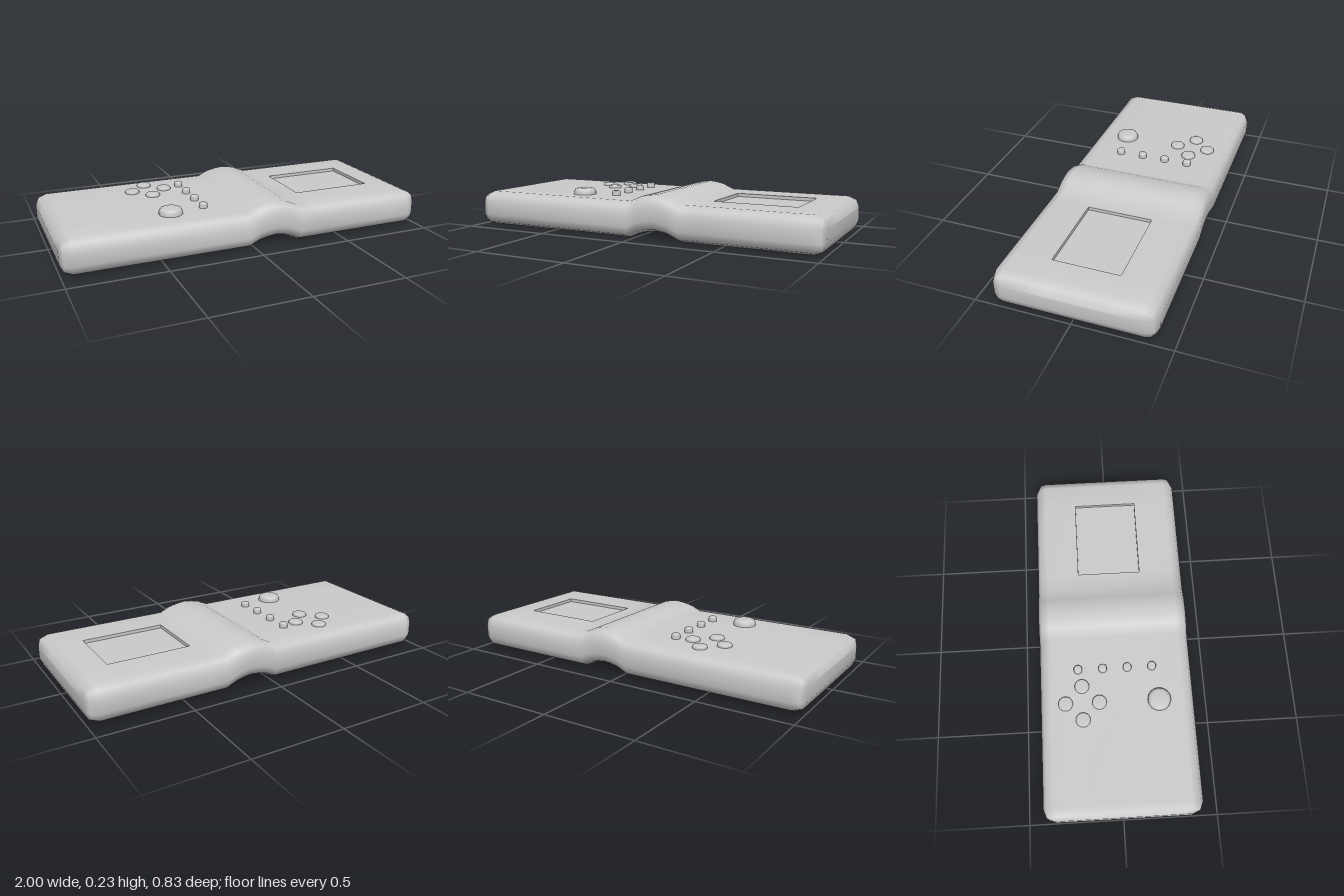
import * as THREE from 'three';
import { mergeVertices } from 'three/addons/utils/BufferGeometryUtils.js';

const material = new THREE.MeshStandardMaterial({ color: 0xcccccc });
const TOP = 0.19, R = 0.06, HALF_Z = 0.355;
const SCREEN = { x0: 0.36, x1: 0.81, z0: -0.18, z1: 0.17, floor: 0.172 };

function addMesh(parent, name, geometry) {
  const mesh = new THREE.Mesh(geometry, material);
  mesh.name = name;
  parent.add(mesh);
  return mesh;
}

// Rounded cross-section in the z-y plane; the top edge is split at the screen borders
function section(x, radius, lift) {
  const ring = [];
  const corners = [[1, TOP - R], [-1, TOP - R], [-1, R], [1, R]];
  corners.forEach(([side, y], c) => {
    for (let s = 0; s <= 2; s++) {
      const a = (c + s / 2) * Math.PI / 2;
      ring.push([x, y + lift + radius * Math.sin(a), side * HALF_Z + radius * Math.cos(a)]);
    }
    if (c === 0) {
      for (const z of [SCREEN.z1, SCREEN.z0]) ring.push([x, y + lift + radius, z]);
    }
  });
  return ring;
}

// Case lofted along x, with a raised grip wave and an opening for the screen
function bodyGeometry() {
  const d = R * Math.SQRT1_2;
  const stations = [
    [-1, 0, 0], [-1 + R - d, d, 0], [-1 + R, R, 0],
    [-0.03, R, 0], [0.03, R, 0.028], [0.075, R, 0.037], [0.12, R, 0.042],
    [0.16, R, 0.037], [0.2, R, 0.028], [0.265, R, 0],
    [SCREEN.x0, R, 0], [SCREEN.x1, R, 0],
    [1 - R, R, 0], [1 - R + d, d, 0], [1, 0, 0],
  ];
  const rings = stations.map((s) => section(...s));
  const n = rings[0].length, last = rings.length - 1, index = [];
  for (let i = 0; i < last; i++) {
    for (let j = 0; j < n; j++) {
      if (stations[i][0] === SCREEN.x0 && j === 3) continue; // screen opening
      const k = (j + 1) % n;
      const a = i * n + j, b = i * n + k, c = a + n, e = b + n;
      index.push(a, c, b, c, e, b);
    }
  }
  for (let j = 1; j < n - 1; j++) {
    index.push(0, j, j + 1, last * n, last * n + j + 1, last * n + j);
  }
  let geometry = new THREE.BufferGeometry();
  geometry.setAttribute('position', new THREE.Float32BufferAttribute(rings.flat(2), 3));
  geometry.setIndex(index);
  geometry = mergeVertices(geometry, 1e-4);
  geometry.computeVertexNormals();
  return geometry;
}

// Screen floor and the four inward-facing walls around it
function addScreen(parent) {
  const { x0, x1, z0, z1, floor } = SCREEN;
  const w = x1 - x0, l = z1 - z0, h = TOP - floor;
  const cx = (x0 + x1) / 2, cz = (z0 + z1) / 2;
  const screen = new THREE.Group();
  screen.name = 'screen';
  screen.position.set(cx, floor, cz);
  addMesh(screen, 'screenPanel', new THREE.PlaneGeometry(w, l)).rotation.x = -Math.PI / 2;
  for (let i = 0; i < 4; i++) {
    const alongX = i % 2 === 0;
    const wall = addMesh(screen, 'screenWall', new THREE.PlaneGeometry(alongX ? w : l, h));
    wall.rotation.y = i * Math.PI / 2;
    wall.position.set(0, h / 2, 0);
    wall.translateZ(-(alongX ? l : w) / 2);
  }
  parent.add(screen);
}

// Round button with a softened rim
function addButton(parent, name, x, z, radius, height, bevel) {
  const profile = [
    [radius, -0.01], [radius, height - bevel],
    [radius - bevel * 0.35, height - bevel * 0.3],
    [radius - bevel, height], [0, height],
  ].map(([r, y]) => new THREE.Vector2(r, y));
  addMesh(parent, name, new THREE.LatheGeometry(profile, 24)).position.set(x, TOP, z);
}

export function createModel() {
  const model = new THREE.Group();
  model.name = 'handheldConsole';
  addMesh(model, 'body', bodyGeometry());
  addScreen(model);

  // Direction pad
  for (const [x, z] of [[-0.398, -0.278], [-0.49, -0.187], [-0.306, -0.187], [-0.398, -0.096]]) {
    addButton(model, 'directionButton', x, z, 0.039, 0.016, 0.008);
  }
  // Large action button
  addButton(model, 'actionButton', -0.4, 0.225, 0.062, 0.034, 0.02);
  // Row of small function buttons
  for (let i = 0; i < 4; i++) {
    addButton(model, 'functionButton', -0.212, -0.204 + i * 0.134, 0.023, 0.027, 0.007);
  }
  return model;
}
